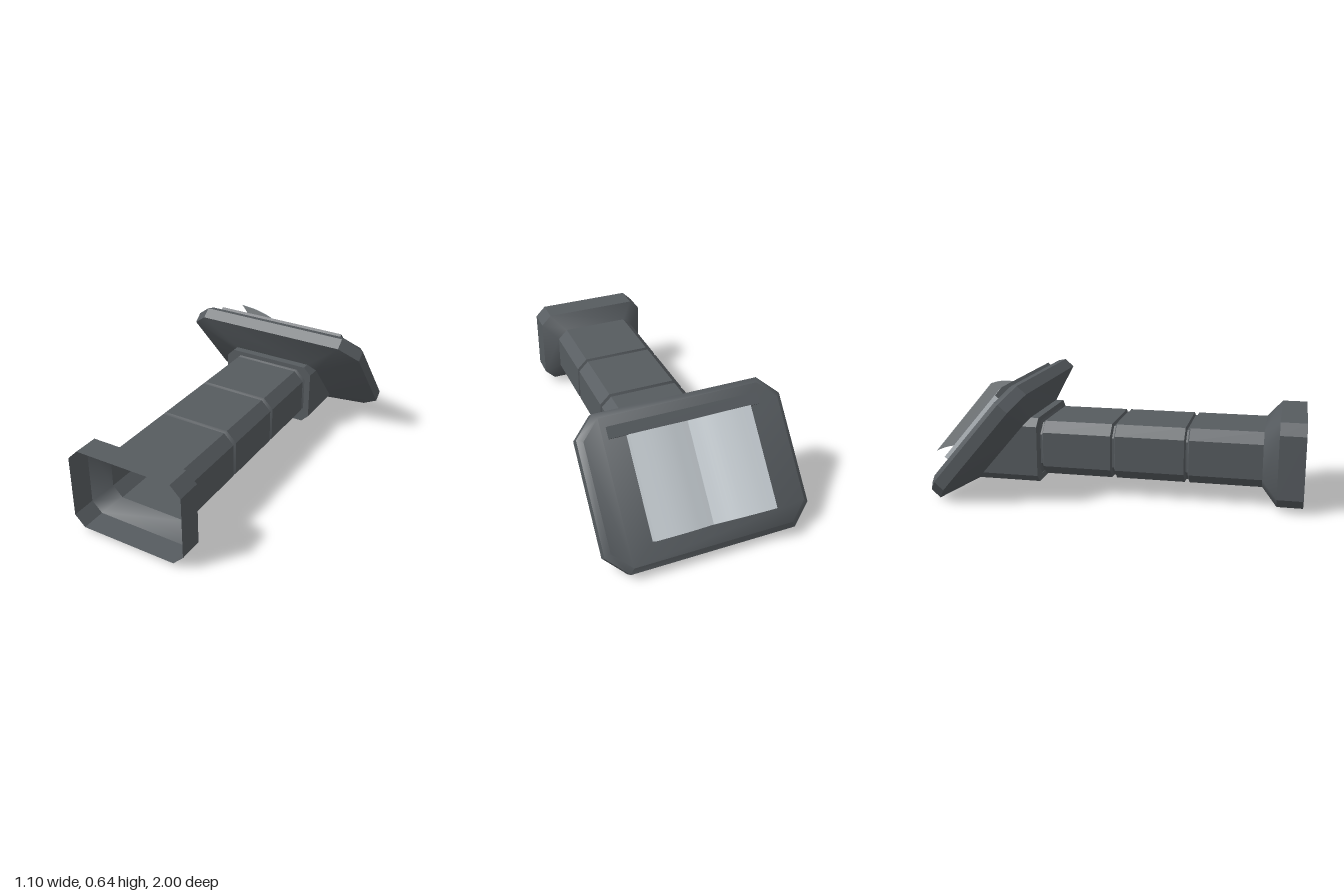
import * as THREE from 'three';
import { toCreasedNormals } from 'three/addons/utils/BufferGeometryUtils.js';

const stone = new THREE.MeshStandardMaterial({ color: 0x565b5f, side: THREE.DoubleSide });
stone.name = 'dark stone';
const paper = new THREE.MeshStandardMaterial({ color: 0xc4cbd0, side: THREE.DoubleSide });
paper.name = 'pale paper';

// Slanted desk frame: u runs up the slope, n points out of the reading face
const deskPoint = (x, u, n) => [x, 0.65 * n + 0.76 * u, -0.76 * n + 0.65 * u];

// Corner-cut rectangle; place() turns each 2D corner into a 3D point
function octagon(halfW, low, high, cut, place) {
  return [
    [halfW - cut, low], [halfW, low + cut], [halfW, high - cut], [halfW - cut, high],
    [cut - halfW, high], [-halfW, high - cut], [-halfW, low + cut], [cut - halfW, low],
  ].map(([a, b]) => place(a, b));
}

// Skin between successive rings, listed from the front backwards
function loft(name, rings, closeEnd = false) {
  const positions = [];
  const tri = (...points) => points.forEach((p) => positions.push(...p));
  for (let r = 0; r < rings.length - 1; r++) {
    const a = rings[r], b = rings[r + 1];
    for (let i = 0; i < 8; i++) {
      const j = (i + 1) % 8;
      tri(a[i], b[j], a[j]);
      tri(a[i], b[i], b[j]);
    }
  }
  if (closeEnd) {
    const e = rings[rings.length - 1];
    for (let i = 1; i < 7; i++) tri(e[0], e[i + 1], e[i]);
  }
  const geometry = new THREE.BufferGeometry();
  geometry.setAttribute('position', new THREE.Float32BufferAttribute(positions, 3));
  const mesh = new THREE.Mesh(toCreasedNormals(geometry, 0.7), stone);
  mesh.name = name;
  return mesh;
}

// Page profile across the book, drawn out along the slope
function pages(name, top, bottom) {
  const sample = (pts) => new THREE.SplineCurve(pts.map((p) => new THREE.Vector2(...p))).getPoints(16);
  const shape = new THREE.Shape([...sample(top), ...sample(bottom).reverse()]);
  const geometry = new THREE.ExtrudeGeometry(shape, { depth: 0.518, bevelEnabled: false });
  geometry.rotateX(Math.PI / 2).translate(0, 0.045, 0);
  const mesh = new THREE.Mesh(toCreasedNormals(geometry, 0.6), paper);
  mesh.name = name;
  return mesh;
}

export function createModel() {
  const model = new THREE.Group();
  model.name = 'lectern';

  const upright = (w, low, high, cut, z) => octagon(w, low, high, cut, (x, y) => [x, y, z]);
  const shaft = (z, inset = 0) => upright(0.245 - inset, 0.105 + inset, 0.405 - inset, 0.055, z);

  // Hollow flared foot
  model.add(loft('foot', [
    upright(0.325, 0.027, 0.48, 0.057, 1),
    upright(0.325, 0.027, 0.48, 0.057, 0.865),
    shaft(0.785),
  ]));

  // Column with three grooves
  const rings = [shaft(0.785)];
  for (const z of [0.385, -0.015, -0.418]) {
    rings.push(shaft(z + 0.013), shaft(z + 0.005, 0.013), shaft(z - 0.005, 0.013), shaft(z - 0.013));
  }
  model.add(loft('column', rings));

  // Collar, cut off along the slope
  const collar = (place) => octagon(0.28, 0.07, 0.43, 0.042, place);
  const cutRing = collar((x, y) => [x, y, (0.65 * y - 0.64) / 0.76]);
  model.add(loft('collar', [shaft(-0.43), collar((x, y) => [x, y, -0.43]), cutRing]));

  // Desk top with tapered underside and bevelled rim
  const rim = (n, inset) => octagon(0.55 - inset, -0.6 + inset, 0.183 - inset, 0.105 - inset * 0.4,
    (x, u) => deskPoint(x, u, n));
  model.add(loft('deskTop', [cutRing, rim(0.713, 0), rim(0.778, 0), rim(0.803, 0.028)], true));

  // Parts lying on the desk; local x points to the model's right
  const desk = new THREE.Group();
  desk.name = 'deskFittings';
  desk.quaternion.setFromRotationMatrix(new THREE.Matrix4().makeBasis(
    new THREE.Vector3(-1, 0, 0),
    new THREE.Vector3(0, 0.76, 0.65).normalize(),
    new THREE.Vector3(0, 0.65, -0.76).normalize(),
  ));
  model.add(desk);

  const ledge = new THREE.Mesh(new THREE.BoxGeometry(0.8, 0.06, 0.045), stone);
  ledge.name = 'bookLedge';
  ledge.position.set(0, 0.075, 0.8185);
  desk.add(ledge);

  // Open book: two page stacks and one lifted leaf
  for (const side of [-1, 1]) {
    desk.add(pages(side < 0 ? 'leftPages' : 'rightPages',
      [[0, 0.838], [0.05, 0.848], [0.12, 0.86], [0.2, 0.864], [0.31, 0.858]].map(([x, n]) => [side * x, n]),
      [[0, 0.806], [0.31, 0.806]].map(([x, n]) => [side * x, n])));
  }
  const leaf = [[0, 0.841], [0.05, 0.856], [0.13, 0.884], [0.22, 0.904], [0.313, 0.913]];
  desk.add(pages('liftedLeaf', leaf, leaf.map(([x, n]) => [x, n - 0.002])));

  return model;
}
